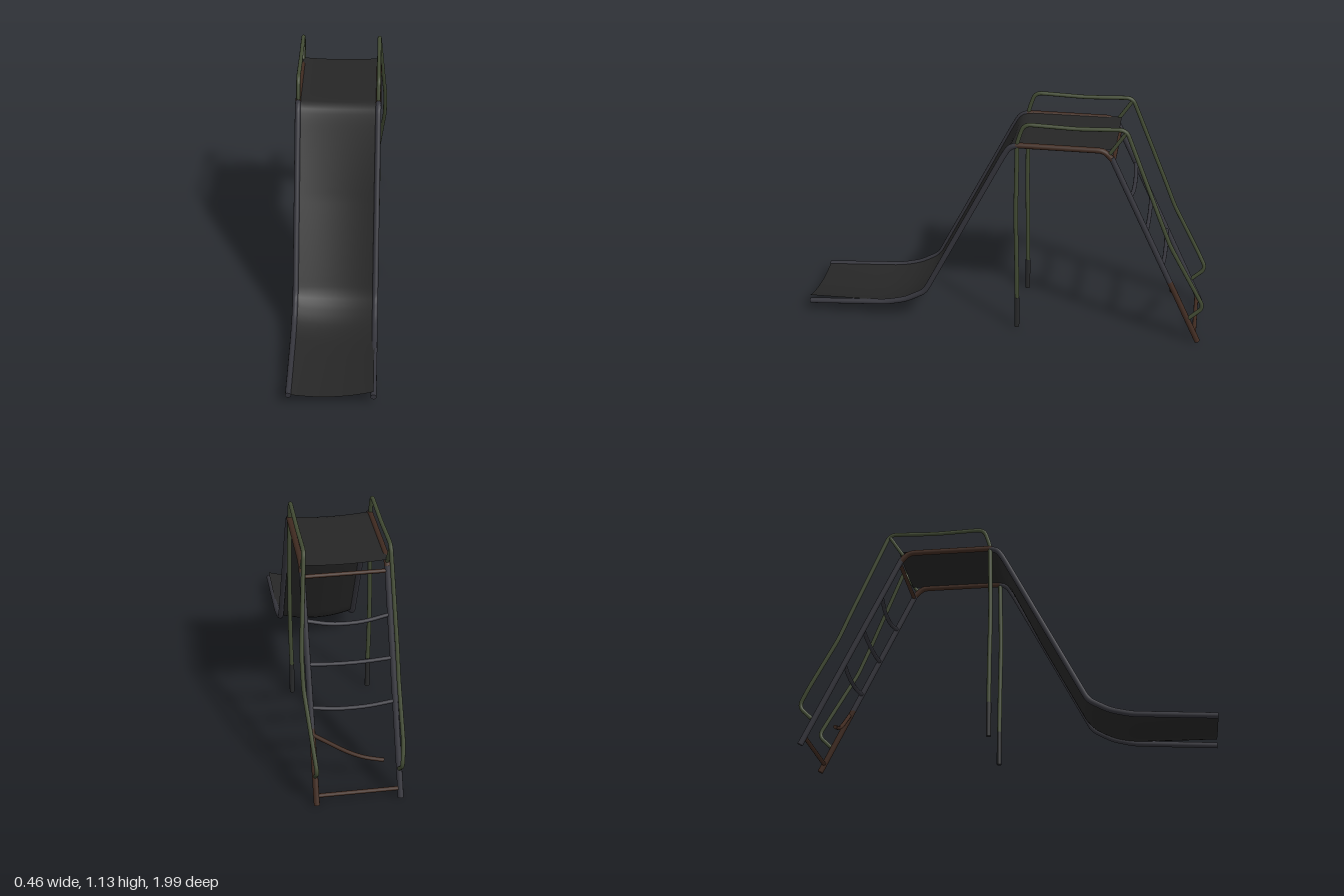
import * as THREE from 'three';

const material = (name, color) => {
  const m = new THREE.MeshStandardMaterial({ color });
  m.name = name;
  return m;
};

export function createModel() {
  const group = new THREE.Group();
  const steel = material('worn steel', 0x34343b);
  const rust = material('rust', 0x3f2a20);
  const green = material('faded green paint', 0x414a33);
  const dark = material('bare dark metal', 0x272829);
  const sheetMat = material('slide sheet', 0x262626);
  sheetMat.side = THREE.DoubleSide;

  const add = (name, geometry, mat) => {
    const mesh = new THREE.Mesh(geometry, mat);
    mesh.name = name;
    group.add(mesh);
    return mesh;
  };

  // Polyline with softly rounded corners
  const roundedPath = (pts, r) => {
    const path = new THREE.CurvePath();
    let from = pts[0];
    for (let i = 1; i < pts.length - 1; i++) {
      const p = pts[i];
      const cut = (q) => p.clone().lerp(q, Math.min(0.45, r / p.distanceTo(q)));
      const a = cut(pts[i - 1]);
      const b = cut(pts[i + 1]);
      path.add(new THREE.LineCurve3(from, a));
      path.add(new THREE.QuadraticBezierCurve3(a, p, b));
      from = b;
    }
    path.add(new THREE.LineCurve3(from, pts[pts.length - 1]));
    return path;
  };

  // Pipe along [x, y, z] points with closed ends
  const pipe = (name, coords, radius, mat, round = 0.04, segments = 60) => {
    const path = roundedPath(coords.map((c) => new THREE.Vector3(...c)), round);
    add(name, new THREE.TubeGeometry(path, segments, radius, 10), mat);
    for (const t of [0, 1]) {
      const cap = add(name + 'End', new THREE.CircleGeometry(radius, 10), mat);
      const dir = path.getTangentAt(t).multiplyScalar(t ? 1 : -1);
      cap.position.copy(path.getPointAt(t));
      cap.quaternion.setFromUnitVectors(new THREE.Vector3(0, 0, 1), dir);
    }
  };

  const LEFT = 0.18;
  const RIGHT = -0.21;
  // [z, y] along the slide and platform
  const chute = [[1, 0.062], [0.6, 0.09], [0.5, 0.115], [0.4, 0.17], [0.0, 0.95], [-0.03, 1.0], [-0.07, 1.012]];
  const ladderZ = (y) => -0.52 - (0.97 - y) * 0.473;

  for (const [side, x] of [['left', LEFT], ['right', RIGHT]]) {
    const s = Math.sign(x);
    const isLeft = s > 0;
    // Slide rail, platform rail and ladder rail
    pipe(side + 'SlideRail', chute.map(([z, y]) => [x, y, z]), 0.014, steel, 0.03, 90);
    pipe(side + 'PlatformRail', [[x, 1.012, -0.06], [x, 1.013, -0.48], [x, 0.97, -0.52]], 0.014, rust, 0.03, 30);
    pipe(side + 'LadderRail', [[x, 0.98, ladderZ(0.98)], [x, 0.33, ladderZ(0.33)]], 0.014, steel, 0, 4);
    pipe(side + 'LadderFoot', [[x, 0.335, ladderZ(0.335)], [x, 0.01, ladderZ(0.01)]], 0.014, isLeft ? rust : steel, 0, 4);

    // Support post, with its worn lower end
    const px = x + s * 0.005;
    pipe(side + 'Post', [[x, 1.015, -0.068], [px, 0.65, -0.063], [px, 0.4, -0.068], [x, 0.17, -0.07]], 0.011, green, 0.1, 20);
    pipe(side + 'PostFoot', [[x, 0.18, -0.07], [x, 0.01, -0.07]], 0.0125, dark, 0, 2);

    // Handrail, bent outward beside the ladder
    const bulge = isLeft ? 0.036 : 0.007;
    pipe(side + 'Handrail', [
      [x, 1.0, -0.065], [x, 1.04, -0.072], [x, 1.122, -0.1], [x, 1.115, -0.35], [x, 1.125, -0.58],
      [x + s * bulge, 0.7, -0.755], [x + s * bulge, 0.55, -0.815], [x + s * 0.01, 0.3, -0.945],
      [x, 0.205, -0.993], [x, 0.14, -0.925],
    ], 0.01, green, 0.035, 180);
    pipe(side + 'HandrailBrace', [[x, 1.11, -0.58], [x, 1.0, -0.507]], 0.009, green, 0, 2);
  }

  // Ladder rungs: height, sag, material
  const rungs = [[0.96, 0, rust], [0.78, 0.025, steel], [0.6, 0.008, steel], [0.42, 0.015, steel], [0.05, 0, rust]];
  rungs.forEach(([y, sag, mat], i) => {
    const z = ladderZ(y);
    pipe('rung' + (i + 1), [[LEFT, y, z], [0.06, y - sag, z - sag * 0.4], [-0.08, y - sag, z - sag * 0.4], [RIGHT, y, z]], 0.01, mat, 0.06, 20);
  });
  pipe('brokenRung', [[LEFT, 0.31, -0.838], [0.02, 0.19, -0.832], [-0.06, 0.145, -0.828], [-0.155, 0.115, -0.822]], 0.01, rust, 0.05, 20);

  // Sagging sheet between the rails, lifted at one corner of the foot
  const line = roundedPath([...chute, [-0.53, 1.015]].map(([z, y]) => new THREE.Vector3(0, y, z)), 0.04);
  const COLS = 12;
  const ROWS = 80;
  const sheet = new THREE.PlaneGeometry(1, 1, COLS, ROWS);
  const pos = sheet.attributes.position;
  for (let r = 0; r <= ROWS; r++) {
    const p = line.getPointAt(r / ROWS);
    const t = line.getTangentAt(r / ROWS);
    const slope = Math.min(1, Math.max(0, (p.z + 0.07) / 0.25));
    for (let c = 0; c <= COLS; c++) {
      const u = c / COLS;
      const sag = (0.008 + 0.02 * slope * (p.z > 0.7 ? 1 - (p.z - 0.7) * 1.8 : 1)) * 4 * u * (1 - u);
      const lift = 0.025 * u * u * Math.max(0, (p.z - 0.55) / 0.45);
      pos.setXYZ(r * (COLS + 1) + c, THREE.MathUtils.lerp(RIGHT, LEFT, u),
        p.y + 0.006 + lift + t.z * sag, p.z - t.y * sag);
    }
  }
  // Rows run from foot to top, so turn the faces upward
  const index = sheet.index.array;
  for (let i = 0; i < index.length; i += 3) [index[i + 1], index[i + 2]] = [index[i + 2], index[i + 1]];
  sheet.computeVertexNormals();
  add('slideSheet', sheet, sheetMat);

  return group;
}
